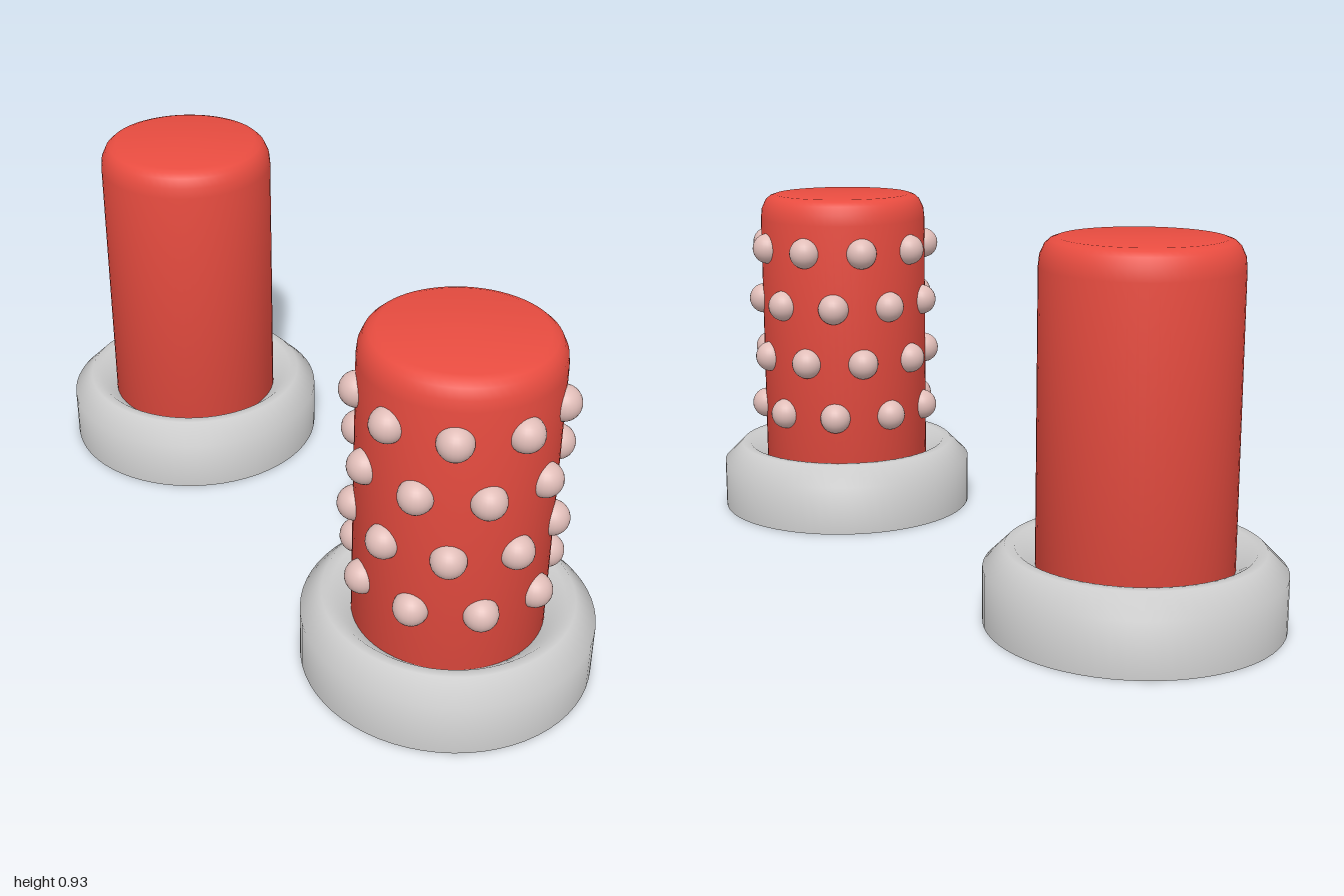
import * as THREE from 'three';
import { toCreasedNormals } from 'three/addons/utils/BufferGeometryUtils.js';

const grey = new THREE.MeshStandardMaterial({ color: 0xcccccc });
const red = new THREE.MeshStandardMaterial({ color: 0xe84c40 });
const pink = new THREE.MeshStandardMaterial({ color: 0xe0bdb8 });

// Turned solid: smooth over bevels, sharp at right-angle edges
function turned(name, profile, material, crease) {
  const points = profile.map(([r, y]) => new THREE.Vector2(r, y));
  const geometry = toCreasedNormals(new THREE.LatheGeometry(points, 64), crease);
  const mesh = new THREE.Mesh(geometry, material);
  mesh.name = name;
  return mesh;
}

function post(name, z) {
  const group = new THREE.Group();
  group.name = name;
  group.position.z = z;

  // Ring foot: straight outer wall, bevelled rim, recessed underside
  group.add(turned('baseRing', [
    [0.226, 0.03], [0.265, 0], [0.364, 0], [0.364, 0.135],
    [0.312, 0.187], [0.288, 0.187], [0.236, 0.14],
  ], grey, 0.9));

  // Upright cylinder with a rounded top edge
  group.add(turned('column', [
    [0, 0.028], [0.226, 0.028], [0.238, 0.05], [0.238, 0.855], [0.235, 0.883],
    [0.224, 0.907], [0.212, 0.918], [0.195, 0.924], [0, 0.925],
  ], red, 0.75));
  return group;
}

// Four rows of nine studs, alternate rows turned by half a step
function addStuds(group) {
  const ball = new THREE.SphereGeometry(0.043, 24, 16);
  const step = (Math.PI * 2) / 9;
  [0.305, 0.461, 0.62, 0.776].forEach((y, row) => {
    for (let i = 0; i < 9; i++) {
      const a = (i + (row % 2 ? 0 : 0.5)) * step;
      const stud = new THREE.Mesh(ball, pink);
      stud.name = 'stud';
      stud.position.set(0.234 * Math.sin(a), y, 0.234 * Math.cos(a));
      group.add(stud);
    }
  });
}

export function createModel() {
  const model = new THREE.Group();
  model.name = 'postPair';
  const studded = post('studdedPost', 0.636);
  addStuds(studded);
  model.add(studded, post('plainPost', -0.636));
  return model;
}
